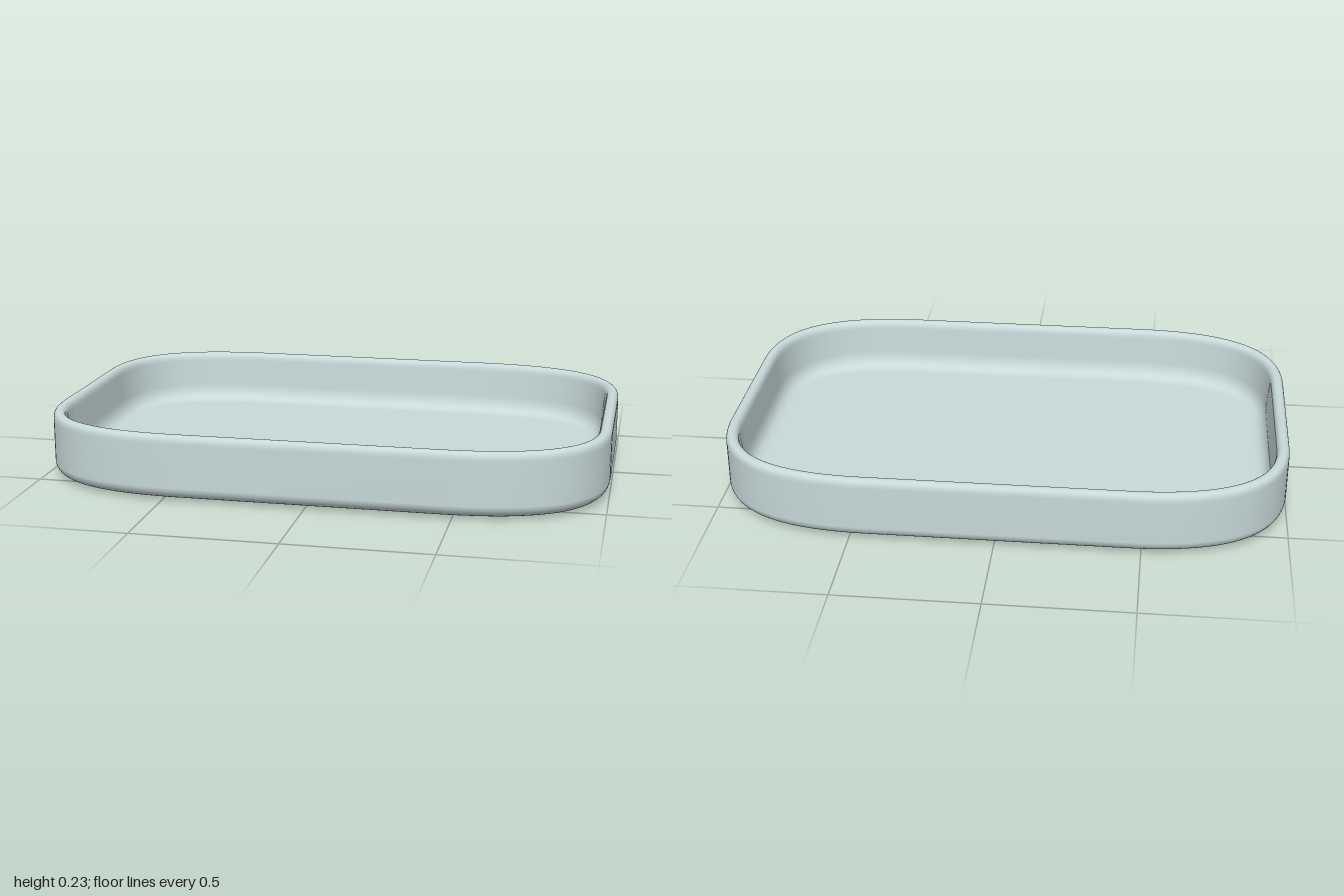
import * as THREE from 'three';

const HX = 1, HZ = 0.665, H = 0.235;

// Soft-cornered rectangular outline, as points with outward normals (x, z)
function outline(perCorner = 28) {
  const x0 = 0.45, z0 = 0.25, pts = [];
  for (const [sx, sz] of [[1, 1], [-1, 1], [-1, -1], [1, -1]]) {
    const corner = new THREE.QuadraticBezierCurve(
      new THREE.Vector2(HX * sx, z0 * sz),
      new THREE.Vector2(HX * sx, HZ * sz),
      new THREE.Vector2(x0 * sx, HZ * sz));
    for (let i = 0; i <= perCorner; i++) {
      const t = sx * sz > 0 ? i / perCorner : 1 - i / perCorner;
      const p = corner.getPoint(t), d = corner.getTangent(t);
      const n = new THREE.Vector2(d.y, -d.x);
      if (n.dot(p) < 0) n.negate();
      pts.push({ p, n });
    }
  }
  return pts;
}

// Wall section from underside to inner floor: x = inset from outline, y = height
function wallSection() {
  const s = new THREE.Path();
  s.moveTo(0.11, 0);
  s.lineTo(0.08, 0);
  s.quadraticCurveTo(0.005, 0.004, 0, 0.05);       // rounded foot
  s.lineTo(0, H - 0.03);
  s.quadraticCurveTo(0, H, 0.022, H);              // rounded rim
  s.quadraticCurveTo(0.044, H, 0.046, H - 0.03);
  s.lineTo(0.054, 0.11);
  s.quadraticCurveTo(0.058, 0.045, 0.115, 0.045);  // fillet into the floor
  s.lineTo(0.14, 0.045);
  return s.getPoints(10);
}

function trayGeometry() {
  const loop = outline(), section = wallSection(), n = loop.length;
  const pos = [], idx = [];
  for (const s of section)
    for (const { p, n: nor } of loop)
      pos.push(p.x - nor.x * s.x, s.y, p.y - nor.y * s.x);
  // Wall skin between neighbouring rings
  for (let r = 0; r < section.length - 1; r++)
    for (let i = 0; i < n; i++) {
      const j = (i + 1) % n, a = r * n + i, b = r * n + j;
      idx.push(a, a + n, b, b, a + n, b + n);
    }
  // Underside and inner floor as fans
  const last = section.length - 1, c = pos.length / 3;
  pos.push(0, section[0].y, 0, 0, section[last].y, 0);
  for (let i = 0; i < n; i++) {
    const j = (i + 1) % n;
    idx.push(c, i, j, c + 1, last * n + j, last * n + i);
  }
  const g = new THREE.BufferGeometry();
  g.setAttribute('position', new THREE.Float32BufferAttribute(pos, 3));
  g.setIndex(idx);
  g.computeVertexNormals();
  return g;
}

export function createModel() {
  const group = new THREE.Group();
  group.name = 'tray';
  const body = new THREE.Mesh(trayGeometry(), new THREE.MeshStandardMaterial({ color: 0xc6d9d8 }));
  body.name = 'trayBody';
  group.add(body);
  return group;
}
